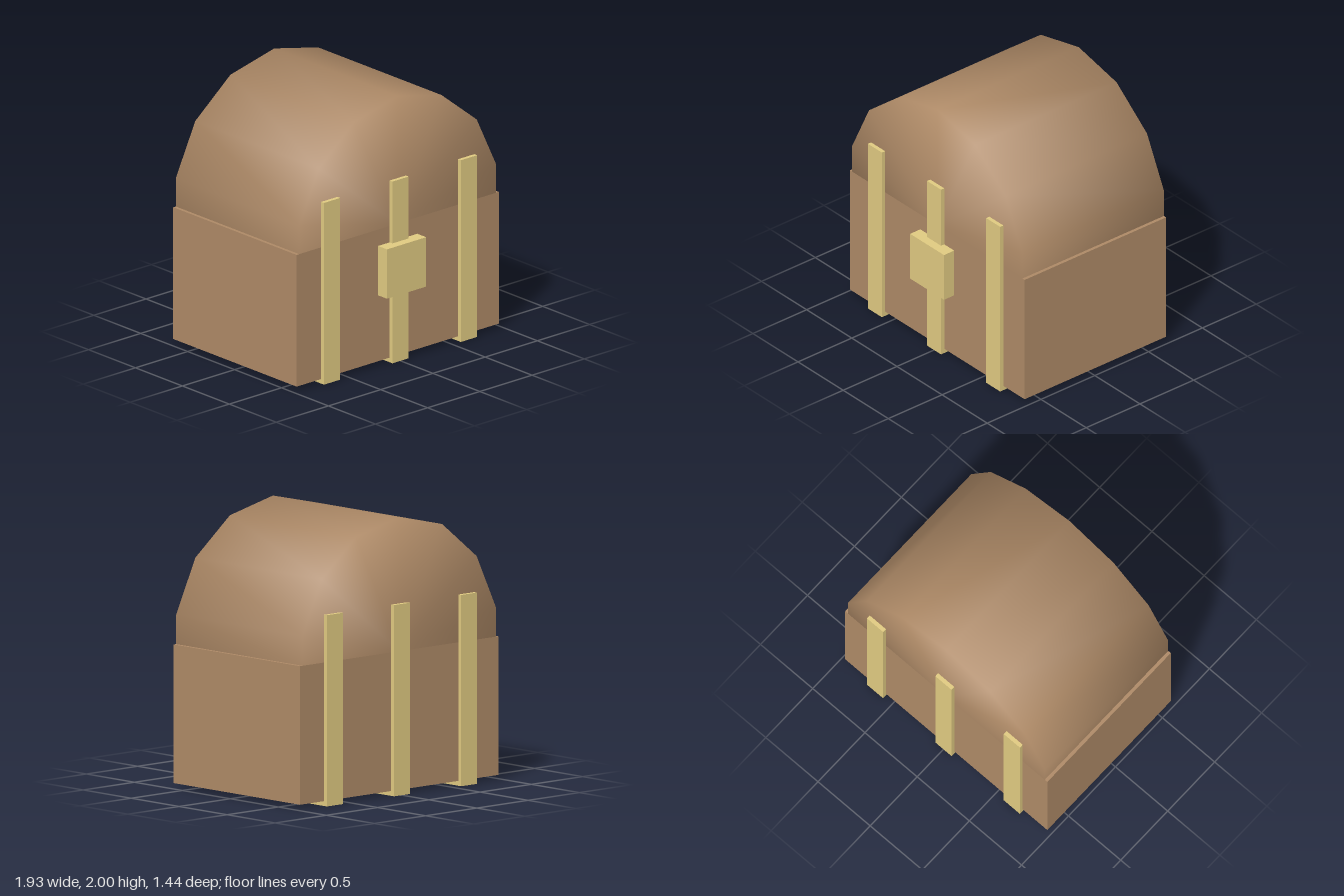
import * as THREE from 'three';

const BACK = -0.69, FRONT = 0.625, BASE = 0.035, RIM = 1.035;
const DEPTH = FRONT - BACK, MID = (FRONT + BACK) / 2;

// Rounded lid: 14-sided barrel, its lower half flattened onto the rim, softly shaded
function lidGeometry() {
  const geo = new THREE.CylinderGeometry(0.967, 0.967, DEPTH, 14).rotateX(Math.PI / 2);
  const pos = geo.attributes.position, nor = geo.attributes.normal;
  const n = new THREE.Vector3();
  for (let i = 0; i < pos.count; i++) {
    pos.setY(i, Math.max(pos.getY(i), 0));
    n.fromBufferAttribute(pos, i).normalize();
    nor.setXYZ(i, n.x, n.y, n.z);
  }
  return geo.translate(0, RIM, MID);
}

// U-shaped strap: up the front, under the bottom and up the back
function strapGeometry(width) {
  const outline = [
    [-0.72, 0], [0.655, 0], [0.655, 1.38], [FRONT, 1.38],
    [FRONT, BASE], [BACK, BASE], [BACK, 1.38], [-0.72, 1.38],
  ].map(([z, y]) => new THREE.Vector2(-z, y));
  const geo = new THREE.ExtrudeGeometry(new THREE.Shape(outline.reverse()), { depth: width, bevelEnabled: false });
  return geo.translate(0, 0, -width / 2).rotateY(Math.PI / 2);
}

export function createModel() {
  const chest = new THREE.Group();
  chest.name = 'chest';
  const wood = new THREE.MeshStandardMaterial({ color: 0xad8966 });
  const brass = new THREE.MeshStandardMaterial({ color: 0xdfc980 });

  const add = (name, geo, mat, x = 0, y = 0, z = 0) => {
    const mesh = new THREE.Mesh(geo, mat);
    mesh.name = name;
    mesh.position.set(x, y, z);
    chest.add(mesh);
  };

  add('body', new THREE.BoxGeometry(1.935, RIM - BASE, DEPTH), wood, 0, (RIM + BASE) / 2, MID);
  add('lid', lidGeometry(), wood);

  // Three metal straps
  const strap = strapGeometry(0.155);
  [['rightStrap', -0.655], ['middleStrap', 0], ['leftStrap', 0.655]]
    .forEach(([name, x]) => add(name, strap, brass, x));

  // Lock plate over the middle strap
  add('lock', new THREE.BoxGeometry(0.375, 0.375, 0.095), brass, 0, 0.723, 0.6725);
  return chest;
}
